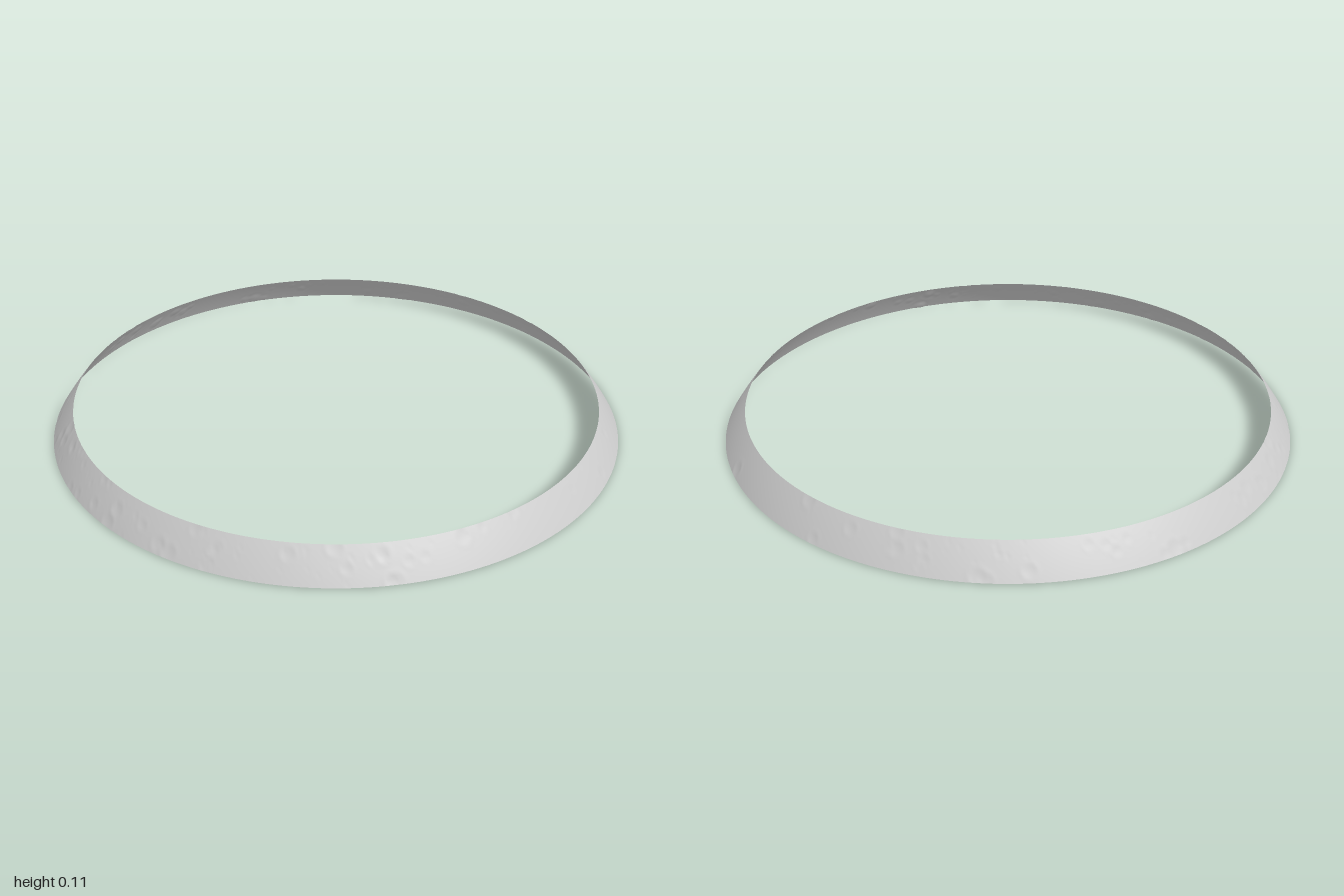
import * as THREE from 'three';
import { mergeVertices } from 'three/addons/utils/BufferGeometryUtils.js';

// small seeded random generator
function seeded(seed) {
  return () => {
    seed = (seed * 1664525 + 1013904223) % 4294967296;
    return seed / 4294967296;
  };
}

export function createModel() {
  const group = new THREE.Group();
  group.name = 'crateredRing';

  // the ring is a band of a sphere between two latitudes
  const low = THREE.MathUtils.degToRad(32);
  const high = THREE.MathUtils.degToRad(38.4);
  const radius = 1 / Math.cos(low);
  let band = new THREE.SphereGeometry(
    radius, 900, 14, 0, Math.PI * 2, Math.PI / 2 - high, high - low);
  band.deleteAttribute('uv');
  band.deleteAttribute('normal');
  band = mergeVertices(band, 1e-5); // closes the seam

  // shallow craters, densest toward the back left
  const random = seeded(7);
  const craters = [];
  while (craters.length < 160) {
    const angle = random() * Math.PI * 2;
    const density = 0.55 + 0.45 * Math.cos(angle + Math.PI * 0.75);
    if (random() > density) continue;
    const lat = low + random() * (high - low);
    const center = new THREE.Vector3(
      Math.cos(lat) * Math.cos(angle), Math.sin(lat), Math.cos(lat) * Math.sin(angle)
    ).multiplyScalar(radius);
    craters.push({ center, size: 0.009 + 0.022 * random() ** 2 });
  }

  // each crater has a sunken floor and a raised rim
  const pos = band.attributes.position;
  const p = new THREE.Vector3();
  for (let i = 0; i < pos.count; i++) {
    p.fromBufferAttribute(pos, i);
    let lift = 0;
    for (const { center, size } of craters) {
      const d = p.distanceTo(center) / size;
      if (d < 1) lift += size * 0.07 * (d * d - 0.7);
      else if (d < 1.5) lift += size * 0.021 * (1 - (d - 1) / 0.5);
    }
    p.setLength(radius + THREE.MathUtils.clamp(lift, -0.002, 0.001));
    pos.setXYZ(i, p.x, p.y - radius * Math.sin(low), p.z);
  }
  band.computeVertexNormals();

  const ring = new THREE.Mesh(band, new THREE.MeshStandardMaterial({
    color: 0xcccccc, side: THREE.DoubleSide
  }));
  ring.name = 'ringBand';
  group.add(ring);
  return group;
}
